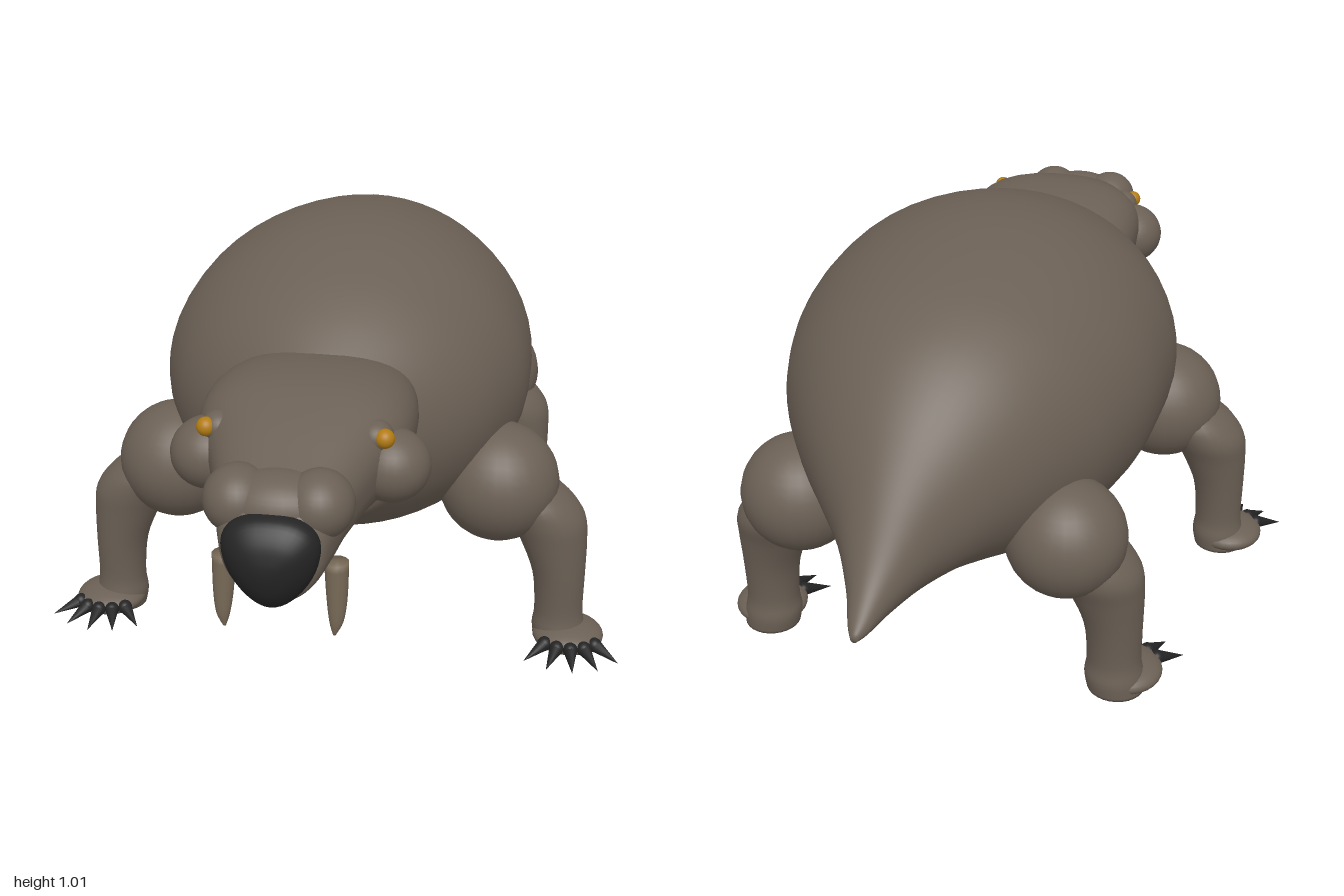
import * as THREE from 'three';

const mat = (name, color) => {
  const m = new THREE.MeshStandardMaterial({ color });
  m.name = name;
  return m;
};

// Smoothly interpolate rows of numbers, column by column
function smooth(rows, steps) {
  const out = [];
  const at = i => rows[Math.max(0, Math.min(rows.length - 1, i))];
  for (let i = 0; i < rows.length - 1; i++) {
    for (let k = 0; k < steps; k++) {
      const t = k / steps;
      out.push(rows[i].map((p1, c) => {
        const p0 = at(i - 1)[c], p2 = at(i + 1)[c], p3 = at(i + 2)[c];
        return p1 + 0.5 * t * (p2 - p0 + t * (2 * p0 - 5 * p1 + 4 * p2 - p3 + t * (3 * (p1 - p2) + p3 - p0)));
      }));
    }
  }
  out.push(rows[rows.length - 1]);
  return out;
}

// Closed loft: place(row, cos, sin) gives a point on each ring; ends are capped
function loft(rows, place, sides = 40, steps = 4) {
  const rings = smooth(rows, steps), pos = [], idx = [];
  for (const row of rings) {
    for (let j = 0; j < sides; j++) {
      const a = j / sides * Math.PI * 2;
      pos.push(...place(row, Math.cos(a), Math.sin(a)));
    }
  }
  for (let i = 0; i < rings.length - 1; i++) {
    for (let j = 0; j < sides; j++) {
      const a = i * sides + j, b = i * sides + (j + 1) % sides;
      idx.push(a, b, b + sides, a, b + sides, a + sides);
    }
  }
  const n = pos.length / 3, last = n - sides;
  pos.push(...place(rings[0], 0, 0), ...place(rings[rings.length - 1], 0, 0));
  for (let j = 0; j < sides; j++) {
    const k = (j + 1) % sides;
    idx.push(n, k, j, n + 1, last + j, last + k);
  }
  const g = new THREE.BufferGeometry();
  g.setAttribute('position', new THREE.Float32BufferAttribute(pos, 3));
  g.setIndex(idx);
  g.computeVertexNormals();
  return g;
}

// Ring facing z from [z, top, bottom, halfWidth]; square flattens the top, taper narrows the bottom
const ringZ = (square = 1, taper = 0) => ([z, top, bottom, w], c, s) => {
  const e = s > 0 ? square : 1;
  const x = Math.sign(c) * Math.abs(c) ** e, y = Math.sign(s) * Math.abs(s) ** e;
  return [w * x * (1 + taper * y), (top + bottom) / 2 + y * (top - bottom) / 2, z];
};
// Ring facing y from [y, x, z, radiusX, radiusZ]
const ringY = ([y, x, z, rx, rz], c, s) => [x + rx * c, y, z - rz * s];

export function createModel() {
  const model = new THREE.Group();
  model.name = 'tuskedBurrower';
  const hide = mat('brown hide', 0x6b6055);
  const black = mat('black nose and claws', 0x242424);
  const ivory = mat('dull tusk', 0x756755);
  const amber = mat('amber eye', 0xb27c14);

  const add = (name, geometry, material, parent = model) => {
    const m = new THREE.Mesh(geometry, material);
    m.name = name;
    parent.add(m);
    return m;
  };
  const ball = (name, material, [x, y, z], [rx, ry, rz], parent = model) => {
    const m = add(name, new THREE.SphereGeometry(1, 28, 20), material, parent);
    m.position.set(x, y, z);
    m.scale.set(rx, ry, rz);
  };

  // Domed body running back into a pointed tail
  add('body', loft([
    [-1, 0.435, 0.418, 0.008], [-0.97, 0.462, 0.413, 0.025], [-0.9, 0.535, 0.408, 0.055], [-0.8, 0.67, 0.398, 0.116],
    [-0.7, 0.79, 0.383, 0.202], [-0.6, 0.878, 0.345, 0.282], [-0.5, 0.934, 0.3, 0.347],
    [-0.4, 0.968, 0.27, 0.398], [-0.25, 0.998, 0.25, 0.443], [-0.1, 1.01, 0.246, 0.455],
    [0.05, 0.995, 0.253, 0.447], [0.2, 0.95, 0.297, 0.395], [0.3, 0.9, 0.345, 0.33],
    [0.38, 0.845, 0.395, 0.25], [0.425, 0.805, 0.42, 0.19], [0.436, 0.76, 0.46, 0.13],
  ], ringZ(), 56), hide);

  // Head and snout
  add('head', loft([
    [0.3, 0.8, 0.52, 0.2], [0.4, 0.828, 0.512, 0.222], [0.5, 0.841, 0.512, 0.232], [0.6, 0.836, 0.517, 0.222],
    [0.7, 0.806, 0.52, 0.18], [0.8, 0.765, 0.512, 0.143], [0.87, 0.735, 0.5, 0.124],
    [0.925, 0.7, 0.497, 0.105], [0.94, 0.67, 0.52, 0.08],
  ], ringZ(0.78, 0.13)), hide);
  ball('muzzleBridge', hide, [0, 0.685, 0.85], [0.12, 0.07, 0.085]);

  // Rounded triangular nose pad
  add('nose', loft([
    [0.9, 0.69, 0.505, 0.08], [0.93, 0.7, 0.494, 0.095], [0.96, 0.692, 0.507, 0.088],
    [0.985, 0.66, 0.54, 0.06], [0.997, 0.625, 0.575, 0.028], [1, 0.605, 0.595, 0.006],
  ], ringZ(0.85, 0.28)), black);

  for (const s of [1, -1]) {
    const side = s > 0 ? 'left' : 'right';
    ball(side + 'Cheek', hide, [s * 0.198, 0.68, 0.63], [0.085, 0.08, 0.085]);
    ball(side + 'NostrilBump', hide, [s * 0.084, 0.69, 0.852], [0.072, 0.072, 0.078]);
    ball(side + 'Brow', hide, [s * 0.168, 0.755, 0.655], [0.038, 0.035, 0.04]);
    ball(side + 'Eye', amber, [s * 0.19, 0.762, 0.68], [0.021, 0.021, 0.021]);

    // Downward tusk
    add(side + 'Tusk', loft([
      [0.4, s * 0.116, 0.872, 0.003, 0.003], [0.43, s * 0.119, 0.867, 0.015, 0.013],
      [0.48, s * 0.119, 0.858, 0.022, 0.021], [0.56, s * 0.117, 0.85, 0.026, 0.026],
    ], ringY, 14), ivory);

    // Front and rear legs: joint ball, bent shin, flat foot and five claws
    const legs = [
      { name: 'FrontLeg', joint: [0.4, 0.43, 0.165], r: 0.147, dx: 0, dz: 0, thick: 1.03, foot: [0.59, 0.2], aim: 0.11 },
      { name: 'RearLeg', joint: [0.32, 0.435, -0.525], r: 0.14, dx: -0.13, dz: -0.665, thick: 1.1, foot: [0.455, -0.452], aim: 0.05 },
    ];
    for (const { name, joint, r, dx, dz, thick, foot, aim } of legs) {
      const leg = new THREE.Group();
      leg.name = side + name;
      model.add(leg);
      ball('upperLeg', hide, [s * joint[0], joint[1], joint[2]], [r, r, r], leg);
      // Shin bends inward at the knee and sinks into the joint ball
      add('lowerLeg', loft([
        [0.01, 0.57, 0.18, 0.062, 0.06], [0.05, 0.565, 0.18, 0.064, 0.063], [0.1, 0.563, 0.18, 0.058, 0.057],
        [0.2, 0.558, 0.178, 0.063, 0.066], [0.29, 0.54, 0.172, 0.08, 0.08], [0.35, 0.52, 0.165, 0.092, 0.093],
        [0.4, 0.49, 0.162, 0.085, 0.093], [0.44, 0.46, 0.16, 0.062, 0.07],
      ].map(([y, x, z, rx, rz]) => [y, s * (x + dx), z + dz, rx * thick, rz * thick]), ringY, 28), hide, leg);
      ball('foot', hide, [s * foot[0], 0.037, foot[1]], [0.088, 0.035, 0.09], leg);
      for (let i = -2; i <= 2; i++) {
        const a = s * (aim + i * 0.4);
        const sin = Math.sin(a), cos = Math.cos(a);
        const claw = add('claw', new THREE.ConeGeometry(0.018, 0.08, 10), black, leg);
        claw.quaternion.setFromUnitVectors(new THREE.Vector3(0, 1, 0), new THREE.Vector3(sin, -0.25, cos).normalize());
        claw.position.set(s * foot[0] + sin * 0.122, 0.031, foot[1] + cos * 0.122);
        ball('clawBase', black, [s * foot[0] + sin * 0.085, 0.04, foot[1] + cos * 0.085], [0.018, 0.018, 0.018], leg);
      }
    }
  }
  return model;
}
